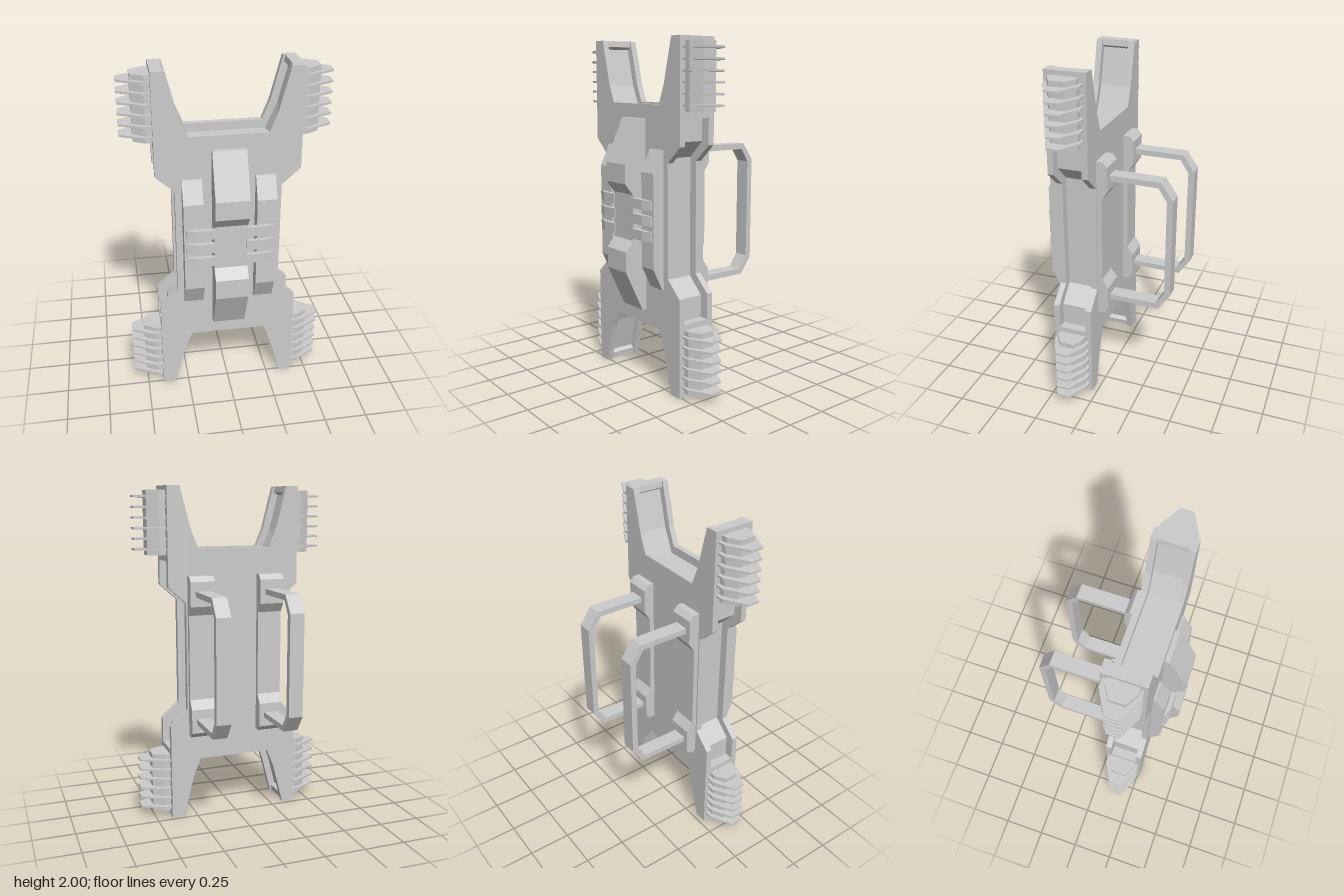
import * as THREE from 'three';

const material = new THREE.MeshStandardMaterial({ color: 0xcccccc, flatShading: true });

function extrude(points, depth) {
  const shape = new THREE.Shape(points.map(([x, y]) => new THREE.Vector2(x, y)));
  return new THREE.ExtrudeGeometry(shape, { depth, bevelEnabled: false });
}

function add(parent, name, geometry) {
  const mesh = new THREE.Mesh(geometry, material);
  mesh.name = name;
  parent.add(mesh);
  return mesh;
}

// Outline in (x, y), running from z0 to z1
const slabZ = (pts, z0, z1) => extrude(pts, z1 - z0).translate(0, 0, z0);
// Outline in (z, y), running from x0 to x1
const slabX = (pts, x0, x1) => extrude(pts, x1 - x0).rotateY(-Math.PI / 2).translate(x1, 0, 0);
// Outline in (x, z), running from y0 to y1
const slabY = (pts, y0, y1) => extrude(pts, y1 - y0).rotateX(Math.PI / 2).translate(0, y1, 0);

// Upper right quarter of an outline, mirrored about x = 0 and y = 1
function fourfold(quarter) {
  const right = [...quarter, ...quarter.map(([x, y]) => [x, 2 - y]).reverse()];
  return [...right, ...right.map(([x, y]) => [-x, y]).reverse()];
}
// Upper half of a side profile, mirrored about y = 1
const twofold = (half) => [...half, ...half.map(([z, y]) => [z, 2 - y]).reverse()];

export function createModel() {
  const model = new THREE.Group();
  model.name = 'armouredFrame';

  // Two H-shaped plates around a recessed core
  const plate = fourfold([[0.22, 1.64], [0.265, 1.75], [0.33, 2], [0.405, 2], [0.405, 1.42], [0.3, 1.325]]);
  const core = fourfold([[0.24, 1.59], [0.305, 1.735], [0.36, 1.95], [0.335, 1.965], [0.34, 2],
    [0.405, 2], [0.405, 1.57], [0.35, 1.57], [0.35, 1.44], [0.25, 1.345]]);
  add(model, 'backPlate', slabZ(plate, 0.028, 0.065));
  add(model, 'core', slabZ(core, 0.065, 0.23));
  add(model, 'frontPlate', slabZ(plate, 0.23, 0.265));

  // Raised spine on the front
  add(model, 'frontSpine', slabX([
    [0.265, 1.56], [0.293, 1.56], [0.405, 1.31], [0.405, 1.2], [0.355, 1.135],
    [0.355, 0.87], [0.405, 0.81], [0.405, 0.69], [0.293, 0.45], [0.265, 0.45],
  ], -0.095, 0.095));

  const rail = twofold([[0.265, 1.395], [0.275, 1.395], [0.335, 1.27]]);
  const finger = [[0.085, 0.335], [0.25, 0.335], [0.25, 0.345], [0.19, 0.362], [0.085, 0.362]];
  const pad = twofold([[0.028, 1.485], [-0.01, 1.485], [-0.037, 1.455], [-0.037, 1.31], [0, 1.255]]);
  const handle = [
    ...twofold([[-0.03, 1.4], [-0.335, 1.4], [-0.405, 1.3]]),
    ...twofold([[-0.03, 1.367], [-0.32, 1.367], [-0.37, 1.29]]).reverse(),
  ];
  const block = [[0.4, 0.065], [0.44, 0.065], [0.507, 0.105], [0.507, 0.19], [0.44, 0.23], [0.4, 0.23]];
  const fin = [[0.4, 0.042], [0.455, 0.042], [0.58, 0.11], [0.58, 0.183], [0.455, 0.247], [0.4, 0.247]];

  for (const [side, s] of [['left', 1], ['right', -1]]) {
    const span = (a, b) => (s > 0 ? [a, b] : [-b, -a]);
    const mirror = (pts) => pts.map(([x, z]) => [s * x, z]);

    // Front rails with three clasping fingers
    add(model, side + 'Rail', slabX(rail, ...span(0.15, 0.262)));
    for (const y of [0.917, 1.005, 1.092]) {
      add(model, side + 'Finger', slabY(mirror(finger), y - 0.028, y + 0.028));
    }

    // Back pads and grab handles
    add(model, side + 'HandlePad', slabX(pad, ...span(0.142, 0.291)));
    add(model, side + 'Handle', slabX(handle, ...span(0.173, 0.26)));

    // Finned blocks on the outer side of each leg
    for (const [level, y0] of [['Lower', 0.028], ['Upper', 1.604]]) {
      const cooler = new THREE.Group();
      cooler.name = side + level + 'FinnedBlock';
      add(cooler, 'block', slabY(mirror(block), y0, y0 + 0.37));
      for (let i = 0; i < 6; i++) {
        const y = y0 + 0.035 + i * 0.06;
        add(cooler, 'fin', slabY(mirror(fin), y - 0.006, y + 0.006));
      }
      model.add(cooler);
    }
  }
  return model;
}
